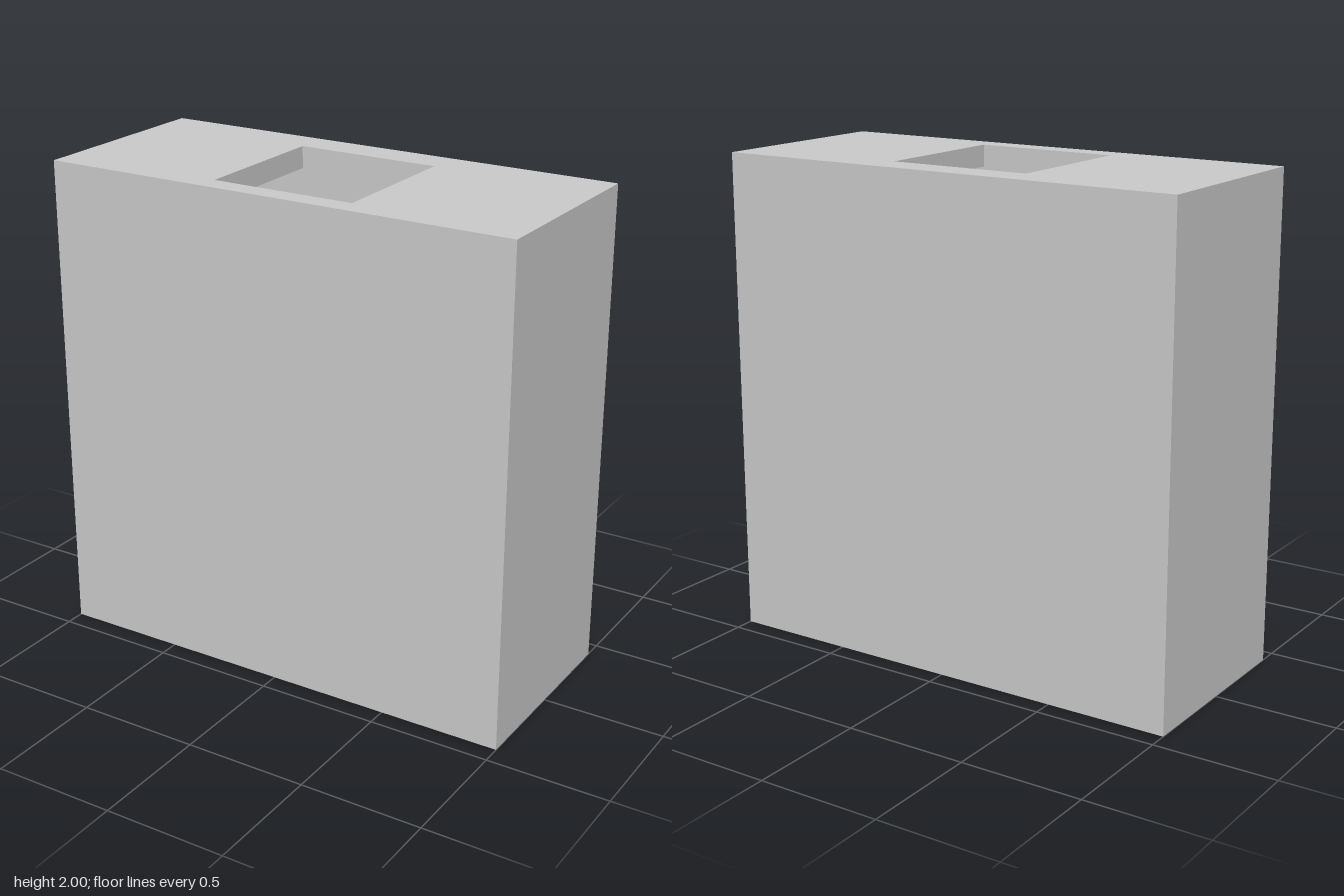
import * as THREE from 'three';

const material = new THREE.MeshStandardMaterial({ color: 0xcccccc });
const OUTER = [-1, 1, -0.42, 0.42]; // x min, x max, z min, z max

function rectangle(PathType, [x0, x1, z0, z1]) {
  return new PathType([[x0, z0], [x1, z0], [x1, z1], [x0, z1]].map(([x, z]) => new THREE.Vector2(x, z)));
}

// Horizontal rectangular frame between two heights, with a rectangular opening
function frame(name, bottom, top, opening) {
  const shape = rectangle(THREE.Shape, OUTER);
  shape.holes.push(rectangle(THREE.Path, opening));
  const geometry = new THREE.ExtrudeGeometry(shape, { depth: top - bottom, bevelEnabled: false });
  geometry.rotateX(Math.PI / 2);
  geometry.translate(0, top, 0);
  const mesh = new THREE.Mesh(geometry, material);
  mesh.name = name;
  return mesh;
}

export function createModel() {
  const group = new THREE.Group();
  group.name = 'hollowBlock';

  // Thin base and thicker lid, both with a square opening
  group.add(frame('basePlate', 0, 0.05, [-0.3, 0.3, -0.28, 0.32]));
  group.add(frame('topPlate', 1.91, 2, [-0.3, 0.3, -0.28, 0.33]));

  // Walls around a wide cavity, flush with the front and back of the openings
  group.add(frame('walls', 0.05, 1.91, [-0.91, 0.91, -0.28, 0.33]));

  return group;
}
